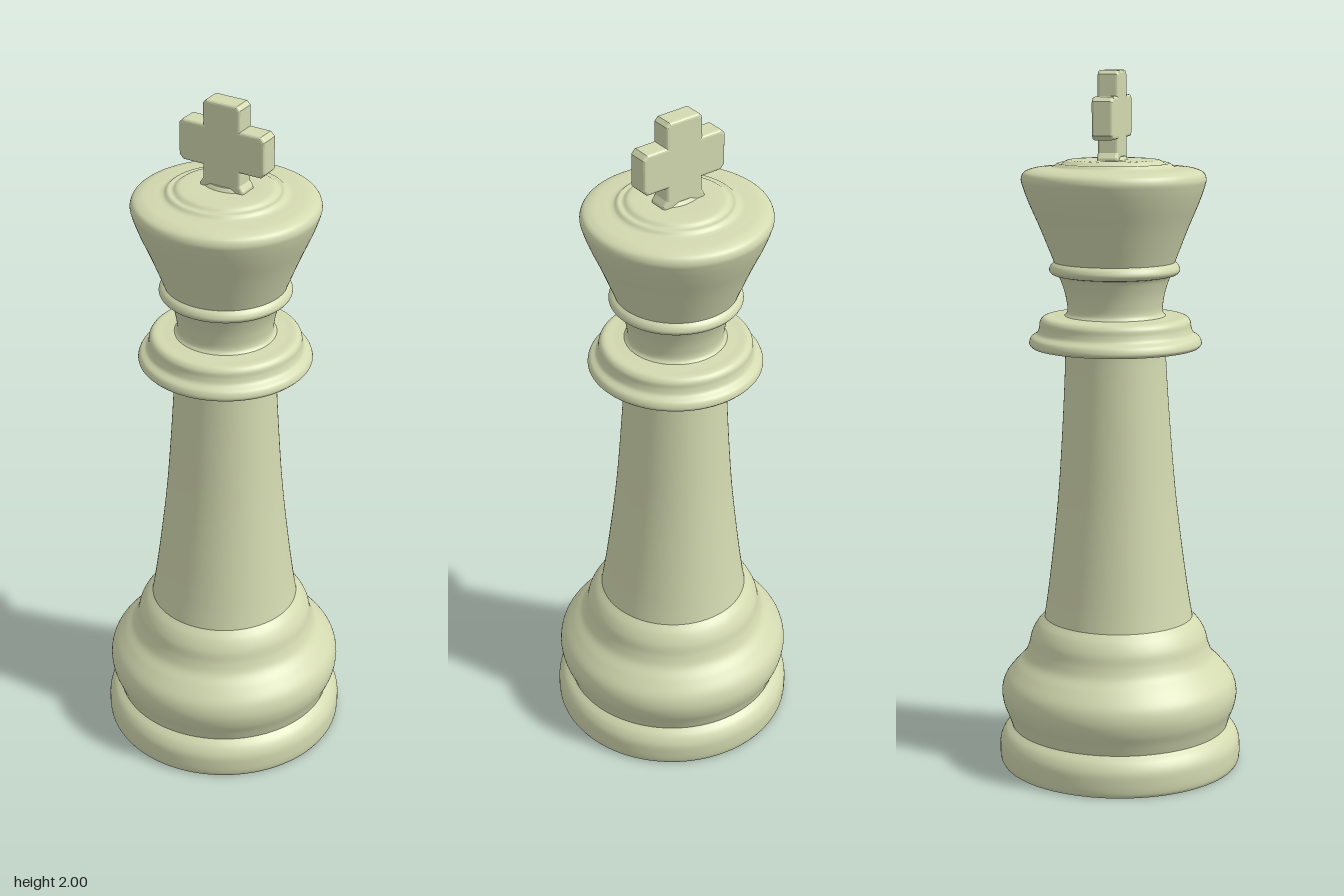
import * as THREE from 'three';

const ivory = new THREE.MeshStandardMaterial({ color: 0xd3d9b0 });
ivory.name = 'ivory';

// The turned body leans very slightly backwards.
const lean = new THREE.Matrix4().set(
  1, -0.002, 0, 0,
  0, 1, 0, 0,
  0, -0.0105, 1, 0,
  0, 0, 0, 1
);

// Smooth turned part through [radius, height] points, from bottom to top.
function turned(name, profile, samples) {
  const curve = new THREE.CatmullRomCurve3(
    profile.map(([r, y]) => new THREE.Vector3(r, y, 0)), false, 'centripetal');
  const points = curve.getPoints(samples).map(p => new THREE.Vector2(Math.max(0, p.x), p.y));
  const geometry = new THREE.LatheGeometry(points, 96);
  geometry.applyMatrix4(lean);
  const mesh = new THREE.Mesh(geometry, ivory);
  mesh.name = name;
  return mesh;
}

export function createModel() {
  const group = new THREE.Group();
  group.name = 'chessKing';

  // Flat underside
  const underside = new THREE.Mesh(new THREE.CircleGeometry(0.345, 96), ivory);
  underside.name = 'underside';
  underside.rotation.x = Math.PI / 2;
  underside.position.y = 0.002;
  group.add(underside);

  // Foot ring
  group.add(turned('footRing', [
    [0.345, 0.002], [0.35, 0.012], [0.352, 0.045], [0.349, 0.073], [0.336, 0.097], [0.316, 0.115]
  ], 30));

  // Rounded belly and shoulder step
  group.add(turned('belly', [
    [0.316, 0.115], [0.326, 0.145], [0.339, 0.18], [0.343, 0.215], [0.334, 0.25], [0.303, 0.29],
    [0.275, 0.32], [0.262, 0.35], [0.253, 0.385], [0.236, 0.415], [0.215, 0.437]
  ], 60));

  // Tapering column
  group.add(turned('column', [
    [0.215, 0.437], [0.205, 0.5], [0.189, 0.62], [0.169, 0.8], [0.154, 1.0], [0.144, 1.18], [0.143, 1.23]
  ], 40));

  // Collar with a flat underside and a stepped rim
  group.add(turned('collarUnderside', [[0.14, 1.226], [0.19, 1.226], [0.238, 1.226]], 6));
  group.add(turned('collar', [
    [0.238, 1.226], [0.245, 1.235], [0.24, 1.252], [0.222, 1.266], [0.216, 1.282],
    [0.213, 1.3], [0.202, 1.311], [0.17, 1.313], [0.13, 1.316]
  ], 50));

  // Waisted neck
  group.add(turned('neck', [
    [0.146, 1.312], [0.136, 1.325], [0.138, 1.36], [0.148, 1.4], [0.16, 1.428], [0.171, 1.434]
  ], 30));

  // Thin ring below the head
  group.add(turned('neckRing', [
    [0.158, 1.428], [0.177, 1.433], [0.185, 1.444], [0.181, 1.457], [0.17, 1.468]
  ], 24));

  // Flared head with a stepped, shallow crown
  group.add(turned('head', [
    [0.17, 1.464], [0.184, 1.5], [0.212, 1.57], [0.24, 1.635], [0.256, 1.68], [0.26, 1.7],
    [0.253, 1.717], [0.232, 1.727], [0.198, 1.731], [0.17, 1.734], [0.158, 1.743],
    [0.145, 1.743], [0.132, 1.751], [0.11, 1.753], [0.06, 1.753], [0, 1.753]
  ], 90));

  // Cross with softened edges
  const b = 0.008;
  const stem = 0.058 - b, arm = 0.133 - b;
  const low = 1.812 + b, high = 1.93 - b, top = 2 - b;
  const half = [
    [stem + 0.012, 1.735], [stem + 0.01, 1.757], [stem, 1.772], [stem, low],
    [arm - 0.008, low], [arm, low + 0.008], [arm, high - 0.008], [arm - 0.008, high],
    [stem, high], [stem, top - 0.006], [stem - 0.006, top]
  ];
  const outline = [...half, ...half.map(([x, y]) => [-x, y]).reverse()];
  const shape = new THREE.Shape(outline.map(([x, y]) => new THREE.Vector2(x, y)));
  const depth = 0.06 - 2 * b;
  const crossGeometry = new THREE.ExtrudeGeometry(shape, {
    depth, bevelEnabled: true, bevelThickness: b, bevelSize: b, bevelSegments: 3
  });
  crossGeometry.translate(0, 0, -depth / 2);
  const cross = new THREE.Mesh(crossGeometry, ivory);
  cross.name = 'cross';
  cross.position.set(-0.004, 0, -0.022);
  cross.rotation.y = -0.025;
  group.add(cross);

  // Small fillet where the cross meets the crown
  const fillet = new THREE.Mesh(new THREE.CylinderGeometry(0.8, 1, 0.012, 48), ivory);
  fillet.name = 'crossFoot';
  fillet.scale.set(0.07, 1, 0.042);
  fillet.position.set(-0.004, 1.757, -0.02);
  group.add(fillet);

  return group;
}
